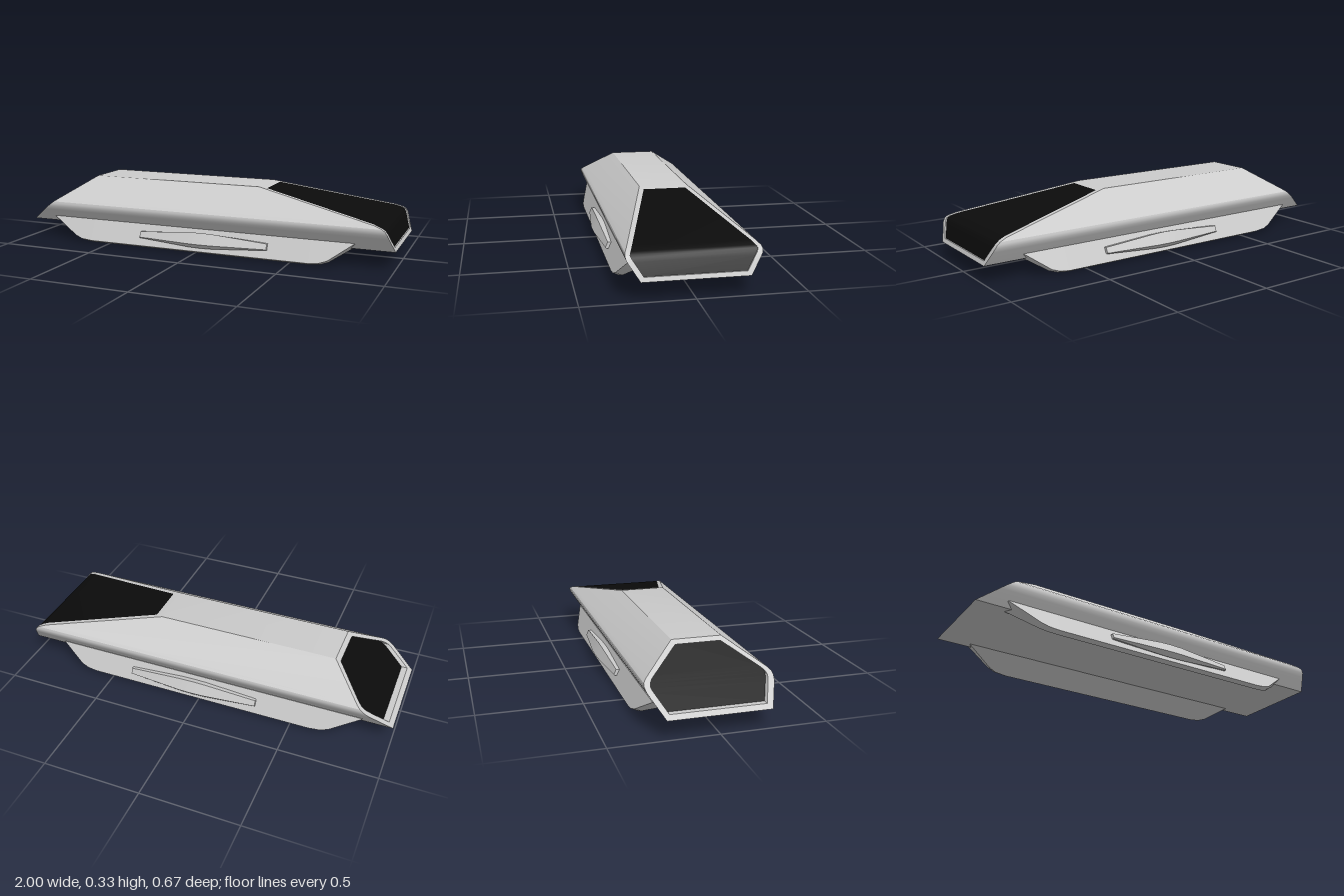
import * as THREE from 'three';
import { toCreasedNormals } from 'three/addons/utils/BufferGeometryUtils.js';

const grey = new THREE.MeshStandardMaterial({ color: 0xcccccc });
const black = new THREE.MeshStandardMaterial({ color: 0x0b0b0b });

// Builds a creased mesh from points and triangle corners
function makeMesh(name, points, index, material) {
  const geo = new THREE.BufferGeometry();
  geo.setAttribute('position', new THREE.Float32BufferAttribute(points.flat(), 3));
  geo.setIndex(index);
  const mesh = new THREE.Mesh(toCreasedNormals(geo, 0.5), material);
  mesh.name = name;
  return mesh;
}

// Skins closed rings of [x, y, z], ordered from -x to +x, optionally closing the ends
function loft(name, rings, capped) {
  const n = rings[0].length, last = (rings.length - 1) * n, index = [];
  for (let r = 0; r < rings.length - 1; r++) {
    for (let i = 0; i < n; i++) {
      const j = (i + 1) % n, a = r * n, b = a + n;
      index.push(a + i, b + i, b + j, a + i, b + j, a + j);
    }
  }
  if (capped) {
    for (let i = 1; i < n - 1; i++) index.push(0, i, i + 1, last, last + i + 1, last + i);
  }
  return makeMesh(name, rings.flat(), index, grey);
}

// Window filling a symmetric ring with level strips
function panel(name, ring, facesFront) {
  const n = ring.length, index = [];
  for (let i = 0; i < n / 2 - 1; i++) {
    const l = i, r = n - 1 - i, l2 = i + 1, r2 = r - 1;
    if (facesFront) index.push(l, r, r2, l, r2, l2);
    else index.push(l, r2, r, l, l2, r2);
  }
  return makeMesh(name, ring, index, black);
}

// Nose and tail outlines seen from the side
const nose = [[0.09, 1], [0.18, 0.967], [0.2, 0.955], [0.21, 0.935], [0.22, 0.9], [0.333, 0.28]];
function noseX(y) {
  let k = 0;
  while (k < nose.length - 2 && y > nose[k + 1][0]) k++;
  const [y0, x0] = nose[k], [y1, x1] = nose[k + 1];
  return x0 + (x1 - x0) * (y - y0) / (y1 - y0);
}
const tailX = y => -1 + (y - 0.09) * 1.4;

// Half section [z, y] turned into a full ring along an end outline
function endRing(half, xOf, shift = 0) {
  const left = half.map(([z, y]) => [xOf(y) + shift, y, z]);
  const right = left.map(([x, y, z]) => [x, y, -z]).reverse();
  return [...left, ...right];
}

const outer = [[0.24, 0.09], [0.284, 0.158], [0.296, 0.178], [0.3, 0.195], [0.297, 0.206], [0.284, 0.219], [0.12, 0.333]];
const noseInner = [[0.225, 0.11], [0.262, 0.168], [0.273, 0.185], [0.278, 0.198], [0.274, 0.207], [0.262, 0.219], [0.105, 0.326]];
const tailInner = [[0.222, 0.108], [0.258, 0.165], [0.268, 0.182], [0.272, 0.195], [0.268, 0.205], [0.255, 0.218], [0.108, 0.316]];

// Fin section: outer bottom, outer top, inner top, inner bottom
const finTop = [[0.262, 0.12], [0.2, 0.095]];
const finBottom = [[0.312, 0.013], [0.287, 0.001]];
const finDepth = [[-0.85, 0.02], [-0.7, 0.82], [-0.66, 0.95], [-0.6, 1], [0.6, 1], [0.65, 0.95], [0.69, 0.82], [0.81, 0.02]];

// Pod sections at the tips and the middle
const podTip = [[0.303, 0.053], [0.308, 0.058], [0.296, 0.085], [0.276, 0.083], [0.292, 0.053]];
const podMid = [[0.312, 0.032], [0.333, 0.055], [0.305, 0.11], [0.272, 0.1], [0.298, 0.04]];
const podSwell = [[-0.31, 0], [-0.03, 0.93], [0.035, 1], [0.1, 0.93], [0.385, 0]];

const mix = (a, b, t) => a.map((p, i) => p.map((v, k) => v + (b[i][k] - v) * t));

// Places a [z, y] section at x, mirrored for the other side
function sideRing(section, x, side) {
  const ring = section.map(([z, y]) => [x, y, z * side]);
  return side > 0 ? ring : ring.reverse();
}

export function createModel() {
  const group = new THREE.Group();
  group.name = 'transport';

  // Hull with window frames
  const noseWindow = endRing(noseInner, noseX, -0.006);
  const tailWindow = endRing(tailInner, tailX, 0.03);
  group.add(loft('hull', [
    tailWindow, endRing(tailInner, tailX), endRing(outer, tailX),
    endRing(outer, noseX), endRing(noseInner, noseX), noseWindow,
  ], false));
  group.add(panel('noseWindow', noseWindow, true));
  group.add(panel('tailWindow', tailWindow, false));

  // Splayed skid fins and their side pods
  for (const side of [1, -1]) {
    const label = side > 0 ? 'front' : 'back';
    const finRings = finDepth.map(([x, t]) => {
      const low = mix([finTop[0], finTop[1]], finBottom, t);
      return sideRing([low[0], finTop[0], finTop[1], low[1]], x, side);
    });
    group.add(loft(label + 'Fin', finRings, true));
    const podRings = podSwell.map(([x, t]) => sideRing(mix(podTip, podMid, t), x, side));
    group.add(loft(label + 'Pod', podRings, true));
  }
  return group;
}
